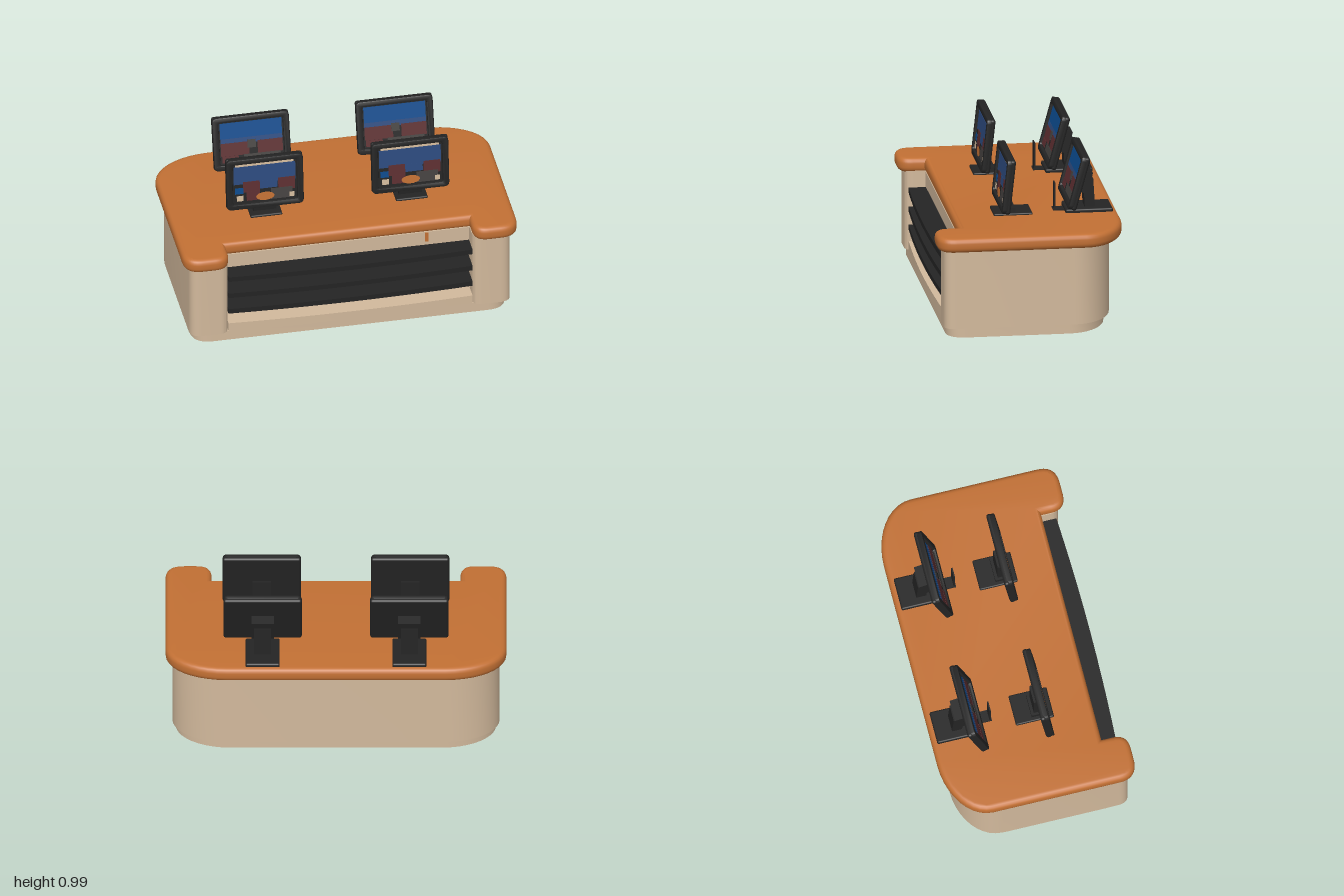
import * as THREE from 'three';
import { toCreasedNormals } from 'three/addons/utils/BufferGeometryUtils.js';
import { RoundedBoxGeometry } from 'three/addons/geometries/RoundedBoxGeometry.js';

const mat = (name, color) => {
  const m = new THREE.MeshStandardMaterial({ color });
  m.name = name;
  return m;
};
const M = {
  orange: mat('orange', 0xc27034), beige: mat('beige', 0xd2b99c), black: mat('black', 0x242424),
  blue: mat('blue', 0x2c4a7e), brightBlue: mat('brightBlue', 0x0c4a8c), maroon: mat('maroon', 0x5c2e30),
  grey: mat('grey', 0x454240), brown: mat('brown', 0x7a655a),
};

function add(parent, name, geo, material, x = 0, y = 0, z = 0) {
  const mesh = new THREE.Mesh(geo, material);
  mesh.name = name;
  mesh.position.set(x, y, z);
  parent.add(mesh);
  return mesh;
}
const box = (w, h, d) => new THREE.BoxGeometry(w, h, d);

// Counter plan (shape y is z): rounded back corners, front arms either side of a notch
function plan({ hx, back, front, rx, rz, rf, notchX, notchZ }) {
  const s = new THREE.Shape();
  const k = 0.45; // corner control fraction
  s.moveTo(-hx + rx, back);
  s.lineTo(hx - rx, back);
  s.bezierCurveTo(hx - rx * k, back, hx, back + rz * k, hx, back + rz);
  s.lineTo(hx, front - rf);
  s.quadraticCurveTo(hx, front, hx - rf, front);
  if (notchX) {
    s.lineTo(notchX + rf * 0.8, front);
    s.quadraticCurveTo(notchX, front, notchX, front - rf * 0.8);
    s.lineTo(notchX, notchZ);
    s.lineTo(-notchX, notchZ);
    s.lineTo(-notchX, front - rf * 0.8);
    s.quadraticCurveTo(-notchX, front, -notchX - rf * 0.8, front);
  }
  s.lineTo(-hx + rf, front);
  s.quadraticCurveTo(-hx, front, -hx, front - rf);
  s.lineTo(-hx, back + rz);
  s.bezierCurveTo(-hx, back + rz * k, -hx + rx * k, back, -hx + rx, back);
  return s;
}

// Slab between two heights, with optional rounded edge
function slab(shape, y0, y1, bevel = 0) {
  const g = new THREE.ExtrudeGeometry(shape, {
    depth: y1 - y0 - 2 * bevel, curveSegments: 10, bevelEnabled: bevel > 0,
    bevelThickness: bevel, bevelSize: bevel, bevelOffset: -bevel, bevelSegments: 4,
  });
  g.rotateX(Math.PI / 2);
  g.translate(0, y1 - bevel, 0);
  return toCreasedNormals(g, 0.7);
}

// Shelf with a gently bowed front
function bowed(halfWidth, back, side, middle) {
  const s = new THREE.Shape();
  s.moveTo(-halfWidth, back);
  s.lineTo(halfWidth, back);
  s.lineTo(halfWidth, side);
  s.quadraticCurveTo(0, 2 * middle - side, -halfWidth, side);
  return s;
}

function roundedRect(w, h, r, Type) {
  const s = new Type(), x = w / 2, y = h / 2;
  s.moveTo(-x + r, -y);
  s.lineTo(x - r, -y);
  s.quadraticCurveTo(x, -y, x, -y + r);
  s.lineTo(x, y - r);
  s.quadraticCurveTo(x, y, x - r, y);
  s.lineTo(-x + r, y);
  s.quadraticCurveTo(-x, y, -x, y - r);
  s.lineTo(-x, -y + r);
  s.quadraticCurveTo(-x, -y, -x + r, -y);
  return s;
}

// Screen pictures: colour, centre x, centre y, width, height
const FRONT_PICTURE = [
  ['beige', 0, 0.118, 0.35, 0.014], ['blue', 0, 0.054, 0.37, 0.116], ['blue', 0.0, -0.02, 0.15, 0.05],
  ['maroon', -0.08, -0.025, 0.1, 0.07], ['maroon', 0.13, -0.025, 0.1, 0.08],
  ['maroon', -0.07, -0.085, 0.08, 0.06], ['grey', 0.1, -0.085, 0.13, 0.07],
  ['brightBlue', -0.155, -0.045, 0.05, 0.04], ['beige', -0.15, -0.095, 0.04, 0.035], ['beige', 0.16, -0.1, 0.03, 0.03],
];
const REAR_PICTURE = [
  ['brightBlue', 0, 0.075, 0.37, 0.1], ['blue', 0, 0.01, 0.37, 0.035], ['maroon', -0.1, -0.04, 0.17, 0.08],
  ['maroon', 0.11, -0.04, 0.15, 0.08], ['grey', 0, -0.015, 0.05, 0.05], ['grey', 0.06, -0.1, 0.22, 0.045],
  ['maroon', -0.13, -0.1, 0.1, 0.04],
];

function display(picture, tilt) {
  const g = new THREE.Group();
  g.name = 'display';
  add(g, 'displayBack', new RoundedBoxGeometry(0.46, 0.33, 0.034, 3, 0.015), M.black, 0, 0, -0.01);
  const frame = roundedRect(0.46, 0.33, 0.03, THREE.Shape);
  frame.holes.push(roundedRect(0.385, 0.262, 0.012, THREE.Path));
  const frameGeo = new THREE.ExtrudeGeometry(frame, {
    depth: 0.024, bevelEnabled: true, bevelSize: 0.006, bevelThickness: 0.006, bevelOffset: -0.006, bevelSegments: 2,
  });
  add(g, 'displayFrame', toCreasedNormals(frameGeo, 0.7), M.black, 0, 0, -0.007);
  picture.forEach(([color, x, y, w, h], i) =>
    add(g, 'screenPatch', box(w, h, 0.002), M[color], x, y, 0.008 + i * 0.0008));
  if (picture === FRONT_PICTURE) {
    const oval = add(g, 'screenOval', new THREE.CircleGeometry(0.055, 20), M.orange, 0, -0.092, 0.019);
    oval.scale.y = 0.5;
  }
  g.rotation.x = -tilt;
  return g;
}

function frontMonitor(x) {
  const g = new THREE.Group();
  g.name = 'frontMonitor';
  const d = display(FRONT_PICTURE, 0.11);
  d.position.set(0, 0.822, 0.1);
  g.add(d);
  add(g, 'standBase', new RoundedBoxGeometry(0.19, 0.02, 0.23, 2, 0.008), M.black, 0, 0.617, 0.055);
  add(g, 'standFoot', box(0.14, 0.03, 0.08), M.black, 0, 0.637, 0.08);
  add(g, 'standUpright', box(0.11, 0.2, 0.03), M.black, 0, 0.72, 0.072);
  g.position.x = x;
  return g;
}

function rearMonitor(x) {
  const g = new THREE.Group();
  g.name = 'rearMonitor';
  const d = display(REAR_PICTURE, 0.27);
  d.position.set(0, 0.827, -0.317);
  g.add(d);
  add(g, 'standBase', new RoundedBoxGeometry(0.2, 0.03, 0.28, 2, 0.01), M.black, 0, 0.622, -0.395);
  const neck = add(g, 'standNeck', box(0.1, 0.18, 0.06), M.black, 0, 0.715, -0.4);
  neck.rotation.x = 0.06;
  const hinge = add(g, 'standHinge', box(0.13, 0.13, 0.06), M.black, 0, 0.79, -0.375);
  hinge.rotation.x = -0.27;
  // small reader plate in front of the screen
  add(g, 'readerFoot', box(0.07, 0.012, 0.07), M.black, 0, 0.617, -0.225);
  add(g, 'readerPlate', box(0.06, 0.165, 0.008), M.black, 0, 0.698, -0.2);
  g.position.x = x;
  return g;
}

export function createModel() {
  const model = new THREE.Group();
  model.name = 'serviceCounter';

  // Counter
  add(model, 'counterTop', slab(plan({
    hx: 1, back: -0.565, front: 0.56, rx: 0.36, rz: 0.25, rf: 0.11, notchX: 0.73, notchZ: 0.405,
  }), 0.53, 0.615, 0.03), M.orange);
  add(model, 'counterBody', slab(plan({
    hx: 0.96, back: -0.49, front: 0.52, rx: 0.32, rz: 0.24, rf: 0.07, notchX: 0.73, notchZ: 0.35,
  }), 0.06, 0.54), M.beige);
  add(model, 'plinth', slab(plan({
    hx: 0.94, back: -0.46, front: 0.5, rx: 0.32, rz: 0.24, rf: 0.12,
  }), 0, 0.061), M.beige);

  // Display recess
  add(model, 'recessHeader', box(1.46, 0.09, 0.05), M.beige, 0, 0.49, 0.375);
  add(model, 'recessDeck', slab(bowed(0.73, 0.34, 0.5, 0.52), 0.06, 0.115), M.beige);
  for (const y of [0.2, 0.31, 0.425])
    add(model, 'shelf', slab(bowed(0.73, 0.34, 0.5, 0.52), y - 0.016, y + 0.016), M.black);
  add(model, 'shelfBackStrip', box(1.44, 0.04, 0.006), M.brown, 0, 0.24, 0.352);
  add(model, 'headerTag', box(0.022, 0.06, 0.006), M.orange, 0.475, 0.5, 0.402);

  for (const side of [-1, 1]) {
    model.add(frontMonitor(side * 0.435));
    model.add(rearMonitor(side * 0.43));
  }
  return model;
}
